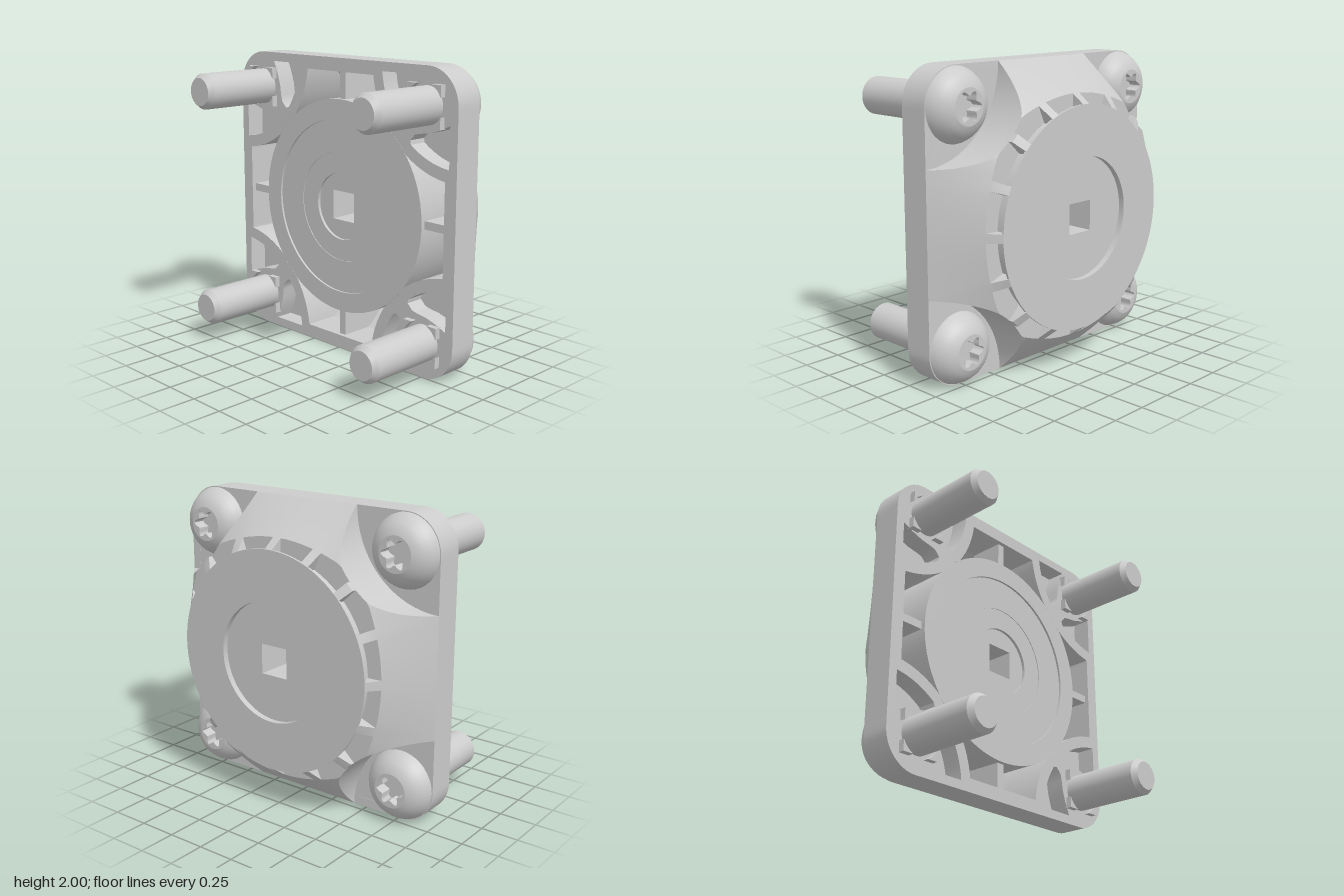
import * as THREE from 'three';
import { toCreasedNormals } from 'three/addons/utils/BufferGeometryUtils.js';

const mat = new THREE.MeshStandardMaterial({ color: 0xcccccc });
const { abs, min, max, sin, cos, sqrt, PI } = Math;
const V2 = (x, y) => new THREE.Vector2(x, y);
const RAD = PI / 180;
const R = 0.73;                    // hub radius
const BACK = -0.57, PLATE = -0.2;  // z levels

function add(parent, name, geo, crease = 0.6) {
  const mesh = new THREE.Mesh(toCreasedNormals(geo, crease), mat);
  mesh.name = name;
  parent.add(mesh);
  return mesh;
}

// lathe around z, profile of [radius, z] from back to front
function lathe(profile, segments = 64) {
  return new THREE.LatheGeometry(profile.map(p => V2(p[0], p[1])), segments).rotateX(PI / 2);
}

function extrude(shape, z0, z1) {
  return new THREE.ExtrudeGeometry(shape, { depth: z1 - z0, bevelEnabled: false, curveSegments: 24 }).translate(0, 0, z0);
}

function ring(n, radius) {
  return Array.from({ length: n }, (_, i) => {
    const a = i / n * 2 * PI, r = radius(a);
    return V2(r * cos(a), r * sin(a));
  });
}

// skin over neighbouring columns of points, each column [angle, [[r, z], ...]]
function skin(columns) {
  const pos = [], idx = [], n = columns[0][1].length;
  for (const [a, prof] of columns) for (const [r, z] of prof) pos.push(r * cos(a), r * sin(a), z);
  for (let i = 0; i < columns.length - 1; i++) for (let j = 0; j < n - 1; j++) {
    const a = i * n + j, b = a + n;
    idx.push(a, b, a + 1, b + 1, a + 1, b);
  }
  const geo = new THREE.BufferGeometry();
  geo.setAttribute('position', new THREE.Float32BufferAttribute(pos, 3));
  geo.setIndex(idx);
  geo.computeVertexNormals();
  return geo;
}

// distance from the axis to the rounded square outline
function square(a) {
  const c = abs(cos(a)), s = abs(sin(a)), r = 1 / max(c, s);
  if (r * min(c, s) < 0.76) return r;
  const k = 0.76 * (c + s);
  return k + sqrt(k * k - 2 * 0.76 ** 2 + 0.24 ** 2);
}
// distance to a circle of given radius around the nearest corner
function cornerArc(a, rad) {
  const d = abs(cos(a)) + abs(sin(a)), q = d * d - 2 + rad * rad;
  return q > 0 ? d - sqrt(q) : 9;
}
const loftZ = (a, r) => PLATE + (BACK - PLATE) * (square(a) - r) / (square(a) - R);
const loftR = (a, z) => square(a) - (square(a) - R) * (z - PLATE) / (BACK - PLATE);
const scoopEdge = a => min(square(a), cornerArc(a, 0.6));
const cavityEdge = a => max(R + 0.0005, min(0.91 / max(abs(cos(a)), abs(sin(a))), cornerArc(a, 0.7)));

// sloped housing: square to circle, scooped corners, notches under the rim
function housing() {
  const lip = -0.555, floor = -0.485, columns = [];
  const column = (a, notch) => {
    const edge = scoopEdge(a);
    const onLoft = z => { const r = min(loftR(a, z), edge); return [r, loftZ(a, r)]; };
    const mid = notch
      ? [[R, lip], [0.695, lip], [0.695, floor], [min(loftR(a, floor), edge), floor]]
      : [onLoft(lip), onLoft(-0.535), onLoft(-0.51), onLoft(floor)];
    const edgeZ = notch ? max(loftZ(a, edge), floor) : loftZ(a, edge);
    columns.push([a, [[0.65, BACK], [R, BACK], ...mid, [edge, edgeZ], [edge, PLATE]]]);
  };
  for (let k = 0; k < 16; k++) {
    const at = (deg, notch) => column((k * 22.5 + deg) * RAD, notch);
    [0, 0.7, 2.2].forEach(d => at(d, false));
    for (let i = 0; i <= 8; i++) at(2.2 + 18.1 * i / 8, true);
    [20.3, 21.8].forEach(d => at(d, false));
  }
  column(2 * PI, false);
  return skin(columns);
}

// inner faces of the four side cavities
function cavities() {
  const columns = [];
  for (let i = 0; i <= 600; i++) {
    const a = i * 0.6 * RAD, e = cavityEdge(a);
    const roof = r => max(loftZ(a, r) + 0.06, -0.46);
    columns.push([a, [[e, PLATE], [e, roof(e)], [min(e, 0.765), roof(min(e, 0.765))], [R, roof(R)]]]);
  }
  return skin(columns);
}

// outline of a fan pocket, measured inwards from a corner
function fanPocket() {
  const pts = [[0.35, 0.06]];
  for (let i = 0; i <= 10; i++) {
    const a = (5.6 + 31 * i / 10) * RAD;
    pts.push([0.62 * cos(a), 0.62 * sin(a)]);
  }
  return pts.concat([[0.47, 0.375], [0.43, 0.335], [0.42, 0.29], [0.41, 0.22], [0.385, 0.14]]);
}

function pocketFloor() {
  const pts = [[0.3, 0.04]];
  for (let i = 0; i <= 16; i++) {
    const a = (3.6 + 82.8 * i / 16) * RAD;
    pts.push([0.64 * cos(a), 0.64 * sin(a)]);
  }
  return pts.concat([[0.04, 0.3]]);
}

function screw() {
  const g = new THREE.Group();
  g.name = 'screw';
  add(g, 'shaft', lathe([[0, -0.19], [0.122, -0.19], [0.122, 0.535], [0.095, 0.57], [0, 0.57]], 32));
  // domed head with a six-lobed socket
  add(g, 'headDome', lathe([[0.115, -0.325], [0.15, -0.312], [0.185, -0.285], [0.212, -0.25], [0.23, -0.215], [0.235, -0.198]], 40));
  const top = new THREE.Shape(ring(40, () => 0.115));
  top.holes.push(new THREE.Path(ring(48, a => 0.082 + 0.018 * cos(6 * a))));
  add(g, 'headSocket', extrude(top, -0.325, -0.24));
  add(g, 'socketFloor', lathe([[0, -0.24], [0.11, -0.24], [0.11, -0.2], [0, -0.2]], 24));
  // four locating tabs around the shaft
  for (let k = 0; k < 4; k++) {
    const pts = [V2(0.135, 0.06), V2(0.135, 0.135), V2(0.06, 0.135)];
    for (let i = 0; i <= 4; i++) {
      const a = (64 - 38 * i / 4) * RAD;
      pts.push(V2(0.146 * cos(a), 0.146 * sin(a)));
    }
    add(g, 'tab', extrude(new THREE.Shape(pts), -0.01, 0.04)).rotation.z = k * PI / 2;
  }
  return g;
}

export function createModel() {
  const model = new THREE.Group();
  model.name = 'squareHousing';
  const body = new THREE.Group();
  body.name = 'body';
  body.position.y = 1;
  model.add(body);

  // front frame, opened by the cavities and the fan pockets
  const frame = new THREE.Shape(ring(360, square));
  frame.holes.push(new THREE.Path(ring(600, cavityEdge)));
  for (const sx of [1, -1]) for (const sy of [1, -1]) {
    const place = pts => pts.map(([u, v]) => V2(sx * (1 - u), sy * (1 - v)));
    frame.holes.push(new THREE.Path(place(fanPocket())));
    frame.holes.push(new THREE.Path(place(fanPocket().map(([u, v]) => [v, u]))));
    add(body, 'pocketFloor', extrude(new THREE.Shape(place(pocketFloor())), -0.199, -0.13));
    const s = screw();
    s.position.set(sx * 0.76, sy * 0.76, 0);
    body.add(s);
  }
  add(body, 'frame', extrude(frame, PLATE, 0));
  add(body, 'housing', housing(), 0.5);
  add(body, 'cavities', cavities(), 0.5);

  // stepped round hub with a square through hole
  add(body, 'hub', lathe([[0.22, -0.53], [0.4, -0.53], [0.4, BACK], [0.66, BACK], [0.66, -0.47], [R, -0.47],
    [R, 0], [0.595, 0], [0.595, -0.015], [0.375, -0.015], [0.375, -0.02], [0.23, -0.02], [0.23, -0.04], [0.22, -0.04]], 96));
  const core = new THREE.Shape(ring(64, () => 0.225));
  core.holes.push(new THREE.Path([V2(-0.1, -0.1), V2(0.1, -0.1), V2(0.1, 0.1), V2(-0.1, 0.1)]));
  add(body, 'hubCore', extrude(core, -0.53, -0.04));

  // one stiffening rib across each side cavity
  const rib = new THREE.Shape([V2(0.72, 0.03), V2(0.92, 0.03), V2(0.92, 0.27), V2(0.72, 0.46)]);
  for (let k = 0; k < 4; k++) {
    const geo = extrude(rib, -0.027, 0.027).rotateX(-PI / 2);
    add(body, 'rib', geo.rotateX(PI / 2).rotateX(-PI / 2).rotateZ(k * PI / 2));
  }
  return model;
}
